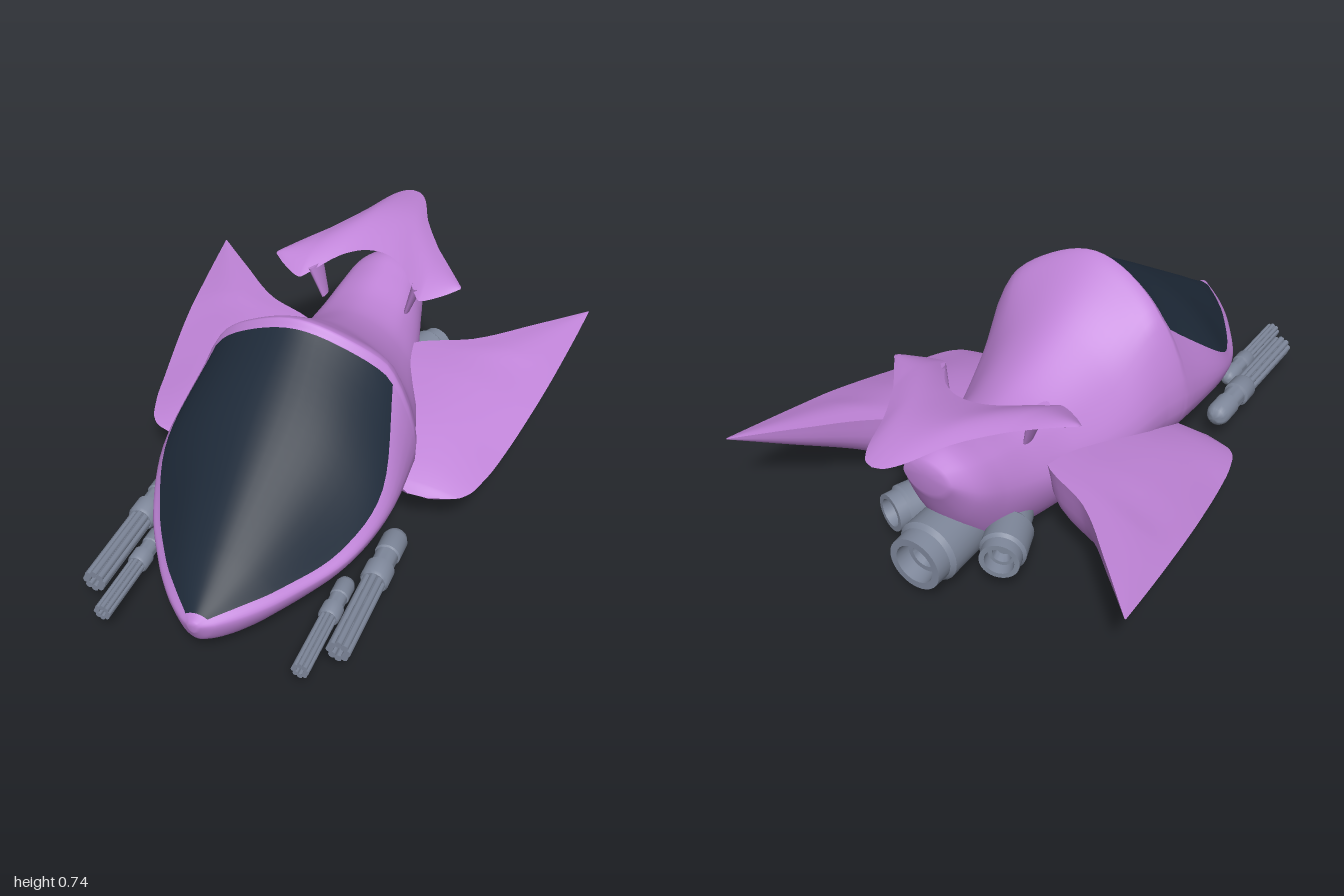
import * as THREE from 'three';
import { toCreasedNormals } from 'three/addons/utils/BufferGeometryUtils.js';

const V = (x, y, z) => new THREE.Vector3(x, y, z);
const paint = (name, color) => {
  const m = new THREE.MeshStandardMaterial({ color });
  m.name = name;
  return m;
};

// Smooth interpolation of every column of a table whose first column ascends or descends
function sample(table, t) {
  const n = table.length, dir = Math.sign(table[n - 1][0] - table[0][0]);
  let k = 0;
  while (k < n - 2 && (t - table[k + 1][0]) * dir > 0) k++;
  const a = table[k], b = table[k + 1], p = table[Math.max(k - 1, 0)], q = table[Math.min(k + 2, n - 1)];
  const h = b[0] - a[0], u = (t - a[0]) / h;
  return a.map((v, c) => {
    const m0 = (b[c] - p[c]) / (b[0] - p[0]) * h, m1 = (q[c] - v) / (q[0] - a[0]) * h;
    return v * (2 * u ** 3 - 3 * u * u + 1) + m0 * (u ** 3 - 2 * u * u + u)
      + b[c] * (3 * u * u - 2 * u ** 3) + m1 * (u ** 3 - u * u);
  });
}

// All stations of a table plus evenly spaced steps between them
function steps(table, sub) {
  const out = [];
  for (let k = 0; k < table.length - 1; k++)
    for (let s = 0; s < sub; s++) out.push(table[k][0] + (table[k + 1][0] - table[k][0]) * s / sub);
  out.push(table[table.length - 1][0]);
  return out;
}

// Skin over rows of points; second(i, j) sends a cell to the second material
function loft(rows, closed, second = () => false) {
  const n = rows[0].length, lists = [[], []];
  for (let i = 0; i < rows.length - 1; i++)
    for (let j = 0; j < (closed ? n : n - 1); j++) {
      const a = i * n + j, b = i * n + (j + 1) % n;
      lists[second(i, j) ? 1 : 0].push(a, b, a + n, b, b + n, a + n);
    }
  const g = new THREE.BufferGeometry().setFromPoints(rows.flat());
  g.setIndex(lists.flat());
  g.addGroup(0, lists[0].length, 0);
  g.addGroup(lists[0].length, lists[1].length, 1);
  g.computeVertexNormals();
  return g;
}

// Hull stations: z, top y, shoulder x, shoulder y, side x, side y, keel y
const HULL = [
  [1, .2, .012, .195, .015, .185, .165],
  [.97, .212, .035, .2, .058, .18, .11],
  [.9, .255, .1, .208, .13, .178, .065],
  [.8, .322, .182, .214, .208, .182, .035],
  [.6, .452, .302, .235, .328, .2, .008],
  [.4, .582, .366, .34, .392, .25, 0],
  [.19, .715, .305, .55, .388, .27, 0],
  [.165, .738, .3, .575, .382, .27, 0],
  [.08, .69, .275, .55, .358, .265, 0],
  [-.1, .575, .235, .43, .318, .25, 0],
  [-.3, .485, .18, .385, .25, .25, 0],
  [-.45, .465, .15, .4, .21, .27, .015],
  [-.6, .49, .13, .43, .17, .31, .06],
  [-.7, .506, .11, .45, .14, .36, .2],
  [-.78, .485, .06, .465, .08, .43, .375],
];
const SUB = 6, SEG = 5;

function hullRow(z) {
  const [, yt, sx, sy, w, yw, yb] = sample(HULL, z);
  const half = [[.54 * sx, yt - .3 * (yt - sy)], [sx, sy], [w, yw], [.62 * w, yb + .27 * (yw - yb)]];
  const ring = [[0, yt], ...half, [0, yb], ...half.slice().reverse().map(([x, y]) => [-x, y])];
  const curve = new THREE.CatmullRomCurve3(ring.map(([x, y]) => V(x, y, z)), true);
  const pts = [];
  for (let j = 0; j < 10 * SEG; j++) {
    const p = curve.getPoint(j / (10 * SEG));
    // sweep the rear canopy frame backwards toward its sides
    p.z -= .05 * Math.min(1, (p.x / .28) ** 2) * Math.exp(-(((z - .17) / .15) ** 2));
    pts.push(p);
  }
  return pts;
}

function hullGeometry() {
  const rows = steps(HULL, SUB).map(hullRow);
  const cap = row => {
    const c = row.reduce((s, p) => s.add(p), V(0, 0, 0)).divideScalar(row.length);
    return row.map(() => c.clone());
  };
  const all = [cap(rows[0]), ...rows, cap(rows[rows.length - 1])];
  return loft(all, true, (i, j) => i > SUB && i <= 6 * SUB && (j < 2 * SEG || j >= 8 * SEG));
}

// Wing stations: z, inner x, inner y, outer x, outer y, belly y
const WING = [
  [.175, .38, .156, .45, .155, .15],
  [.14, .3, .19, .55, .16, .125],
  [.05, .25, .235, .6, .175, .105],
  [-.1, .22, .285, .635, .195, .09],
  [-.3, .19, .318, .672, .235, .09],
  [-.43, .2, .328, .692, .26, .115],
  [-.53, .39, .328, .704, .275, .16],
  [-.7, .57, .328, .722, .3, .24],
  [-.865, .733, .325, .737, .325, .322],
];

function wingGeometry(side) {
  const rows = steps(WING, 6).map(z => {
    const [, xi, yi, xo, yo, yb] = sample(WING, z);
    const thick = yi - yb, at = u => xi + (xo - xi) * u;
    const top = new THREE.CatmullRomCurve3([V(xi, yi, z),
      V(at(.5), (yi + yo) / 2 + .12 * thick, z), V(xo, yo, z)]);
    const belly = new THREE.CatmullRomCurve3([V(xo, yo, z), V(at(.75), yo + (yb - yo) * .7, z),
      V(at(.35), yb, z), V(at(.08), yb + thick * .35, z), V(xi, yi, z)]);
    const pts = [...top.getPoints(8), ...belly.getPoints(12)];
    return side > 0 ? pts : pts.map(p => V(-p.x, p.y, p.z)).reverse();
  });
  return loft(rows, false);
}

// Tail fin stations: x, leading z, trailing z; and its height along z
const FIN = [[0, -.57, -1], [.035, -.565, -.985], [.07, -.55, -.93], [.12, -.51, -.8],
  [.2, -.405, -.66], [.225, -.382, -.625], [.3, -.425, -.53], [.345, -.465, -.475]];
const FIN_Y = [[-.37, .532], [-.5, .572], [-.65, .6], [-.8, .617], [-1, .622]];

function finGeometry() {
  const half = steps(FIN, 4);
  const xs = [...half.slice().reverse(), ...half.slice(1).map(x => -x)];
  const rows = xs.map(x => {
    const [, zl, zt] = sample(FIN, Math.abs(x));
    const thick = .024 * Math.sqrt(Math.max(0, 1 - (x / .345) ** 2));
    const pts = [];
    for (const dir of [1, -1])
      for (let j = 0; j <= 12; j++) {
        const u = dir > 0 ? j / 12 : 1 - j / 12, z = zl + (zt - zl) * u;
        pts.push(V(x, sample(FIN_Y, z)[1] + dir * thick * Math.sin(Math.PI * u), z));
      }
    return pts;
  });
  return loft(rows, false);
}

const lathe = (profile, sides) => toCreasedNormals(
  new THREE.LatheGeometry(profile.map(([r, y]) => new THREE.Vector2(r, y)), sides), .6);

export function createModel() {
  const model = new THREE.Group();
  model.name = 'spaceship';
  const purple = paint('purple hull', 0xc084d8);
  const glass = paint('dark glass', 0x1f2b3a);
  const metal = paint('grey metal', 0x7e879a);
  const add = (parent, name, geometry, material) => {
    const m = new THREE.Mesh(geometry, material);
    m.name = name;
    parent.add(m);
    return m;
  };

  add(model, 'hullAndCanopy', hullGeometry(), [purple, glass]);
  add(model, 'tailFin', finGeometry(), purple);

  // Thruster with a flared casing, stepped rim and recessed nozzle
  const thruster = lathe([[0, 0], [.06, 0], [.078, .05], [.08, .13], [.105, .16], [.107, .31], [.094, .325],
    [.092, .38], [.068, .38], [.062, .33], [.045, .33], [.035, .29], [0, .29]], 28);
  const addThruster = (name, x, z, scale, yaw) => {
    const pivot = new THREE.Group();
    pivot.name = name;
    pivot.position.set(x, .15, z);
    pivot.rotation.y = yaw;
    pivot.scale.setScalar(scale);
    add(pivot, 'nozzle', thruster, metal).rotation.x = -Math.PI / 2;
    model.add(pivot);
  };
  addThruster('mainThruster', 0, -.48, 1, 0);

  // Gun: round-backed breech and a cluster of barrels around a core
  const breech = lathe([[0, 0], [.02, .004], [.034, .016], [.042, .036], [.042, .11], [.037, .115], [.037, .17],
    [.046, .175], [.046, .235], [.04, .245], [0, .245]], 24);
  const core = lathe([[.031, .22], [.031, .55], [.022, .55], [.022, .5], [0, .5]], 20);
  const rod = new THREE.CylinderGeometry(.012, .012, .31, 8).translate(.027, .395, 0);
  const addGun = (name, x, y, z, scale) => {
    const gun = new THREE.Group();
    gun.name = name;
    gun.position.set(x, y, z);
    gun.rotation.x = Math.PI / 2;
    gun.scale.setScalar(scale);
    add(gun, 'breech', breech, metal);
    add(gun, 'barrelCore', core, metal);
    for (let i = 0; i < 8; i++) add(gun, 'barrelRod', rod, metal).rotation.y = i * Math.PI / 4;
    model.add(gun);
  };

  const strut = new THREE.CylinderGeometry(.055, .026, .13, 20).scale(.35, 1, 1);
  for (const s of [1, -1]) {
    const label = s > 0 ? 'left' : 'right';
    add(model, label + 'Wing', wingGeometry(s), purple);
    addThruster(label + 'Thruster', s * .115, -.465, .7, -s * .36);
    addGun(label + 'OuterGun', s * .4, .11, .32, 1);
    addGun(label + 'InnerGun', s * .32, .097, .567, .73);
    // Fin strut leaning outward
    const leg = add(model, label + 'FinStrut', strut, purple);
    leg.position.set(s * .175, .495, -.467);
    leg.rotation.z = -s * .3;
  }
  return model;
}
